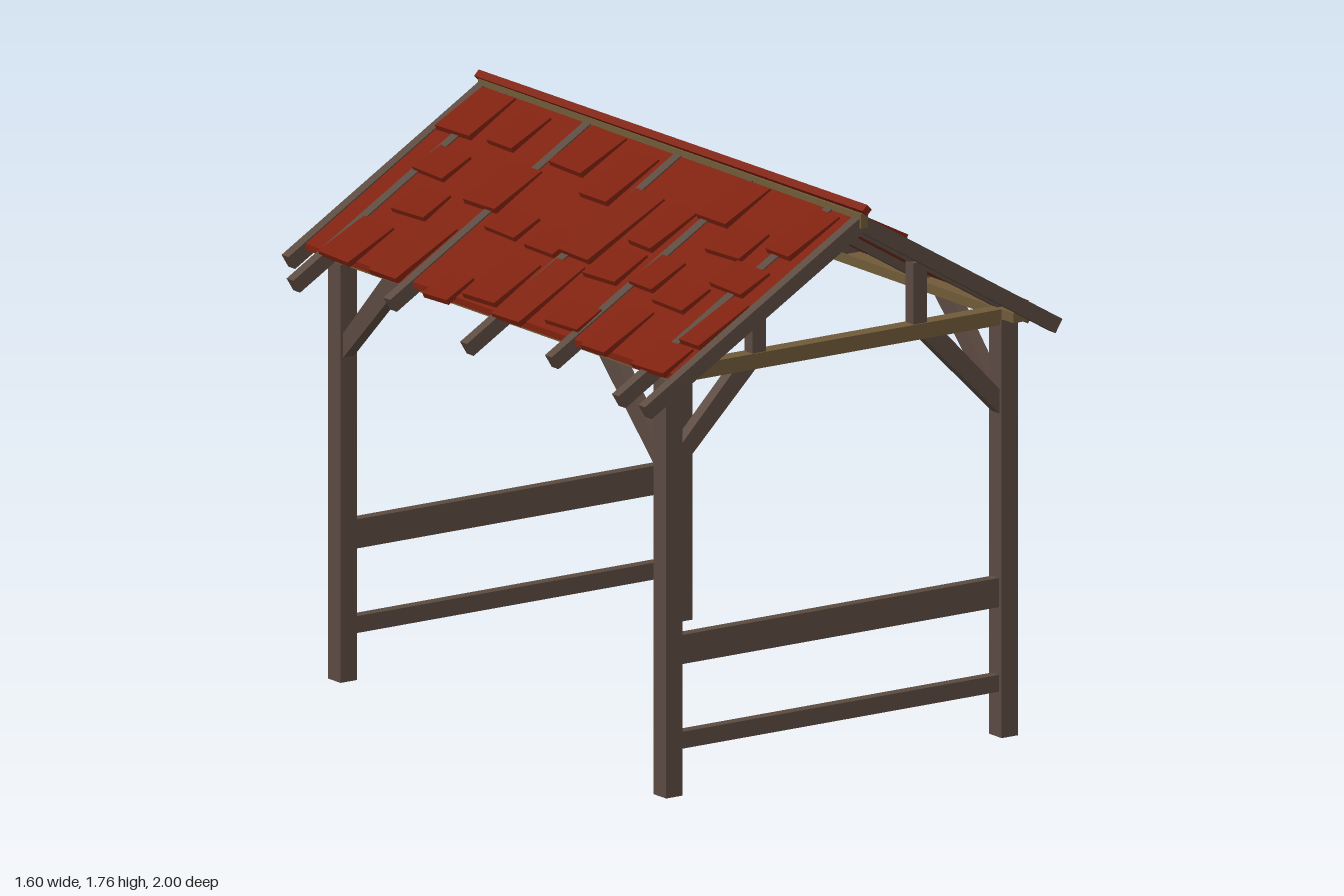
import * as THREE from 'three';

export function createModel() {
  const model = new THREE.Group();
  model.name = 'marketShelter';
  const material = (name, color) => {
    const m = new THREE.MeshStandardMaterial({ color });
    m.name = name;
    return m;
  };
  const wood = material('dark timber', 0x5b4a40);
  const beam = material('pale timber', 0x705a38);
  const red = material('red shingle', 0x7e210e);

  const add = (name, geometry, mat) => {
    const mesh = new THREE.Mesh(geometry, mat);
    mesh.name = name;
    model.add(mesh);
    return mesh;
  };
  // Box given by its size and centre
  const box = (name, mat, w, h, d, x, y, z) => {
    const mesh = add(name, new THREE.BoxGeometry(w, h, d), mat);
    mesh.position.set(x, y, z);
    return mesh;
  };
  // Outline extruded symmetrically about its own plane
  const prism = (points, depth) => {
    const shape = new THREE.Shape(points.map(([x, y]) => new THREE.Vector2(x, y)));
    return new THREE.ExtrudeGeometry(shape, { depth, bevelEnabled: false }).translate(0, 0, -depth / 2);
  };

  const slope = 0.589, pitch = Math.atan(slope);
  const deckY = (x) => 1.71 - slope * Math.abs(x);
  const postX = 0.615, postZ = 0.838;

  // Posts and diagonal braces at the four corners
  for (const sx of [-1, 1]) for (const sz of [-1, 1]) {
    box('post', wood, 0.06, 1.29, 0.065, sx * postX, 0.645, sz * postZ);
    const cross = [[0.59, 0.995], [0.59, 1.07], [0.39, 1.275], [0.305, 1.275]];
    add('gableBrace', prism(cross.map(([x, y]) => [sx * x, y]), 0.04), wood)
      .position.z = sz * postZ;
    const along = [[0.808, 1.0], [0.808, 1.075], [0.6, 1.295], [0.505, 1.295]];
    add('sideBrace', prism(along.map(([z, y]) => [sz * z, y]), 0.04).rotateY(-Math.PI / 2), wood)
      .position.x = sx * postX;
    box('gableStrut', wood, 0.05, 0.2, 0.04, sx * 0.295, 1.41, sz * postZ);
  }

  // Rails and tie beams on both gable ends, wall plates along the sides
  for (const s of [-1, 1]) {
    box('upperRail', wood, 1.18, 0.09, 0.035, 0, 0.446, s * postZ);
    box('lowerRail', wood, 1.18, 0.052, 0.035, 0, 0.166, s * postZ);
    box('tieBeam', beam, 1.2, 0.048, 0.05, 0, 1.297, s * postZ);
    box('wallPlate', beam, 0.052, 0.03, 1.85, s * postX, 1.306, 0);
  }

  // Rafter pairs with uneven ends: z, left reach, right reach
  const rafters = [
    [-0.972, 0.73, 0.795], [-0.855, 0.795, 0.795], [-0.42, 0.75, 0.74], [0.045, 0.8, 0.725],
    [0.412, 0.75, 0.78], [0.82, 0.795, 0.73], [0.962, 0.8, 0.73],
  ];
  for (const [z, l, r] of rafters) {
    const top = (x) => 1.725 - slope * x, low = (x) => 1.67 - slope * x;
    add('rafterPair', prism([
      [0, top(0)], [r, top(r)], [r - 0.025, low(r - 0.025)],
      [0, low(0)], [0.025 - l, low(l - 0.025)], [-l, top(l)],
    ], 0.035), wood).position.z = z;
  }

  // Roof deck and ridge
  const t = 0.01;
  for (const s of [-1, 1]) {
    add('roofDeck', prism([
      [0, deckY(0) + t], [s * 0.667, deckY(0.667) + t],
      [s * 0.667, deckY(0.667) - t], [0, deckY(0) - t],
    ], 1.9), red).position.z = -0.005;
  }
  box('ridgeBeam', beam, 0.026, 0.045, 1.97, 0, 1.709, 0);
  const cap = box('ridgeCap', red, 0.024, 0.024, 2, 0, 1.741, 0);
  cap.rotation.set(-0.004, 0, Math.PI / 4, 'XYZ');

  // Raised shingles in hundredths: inner x, outer x, back z, front z
  const leftTiles = [
    [53, 69, -85, -69], [38, 48, -77, -61], [24, 34, -86, -70], [2, 19, -95, -78], [4, 18, -70, -57],
    [47, 69, -59, -45], [21, 38, -54, -38], [2, 18, -38, -21], [60, 70, -30, -18], [35, 44, -35, -19],
    [49, 66, -15, 1], [36, 45, -13, 2], [5, 24, -14, 0], [45, 69, 4, 18], [16, 43, 3, 18],
    [35, 47, 20, 36], [16, 33, 24, 36], [56, 65, 26, 42], [33, 45, 41, 53], [2, 18, 38, 53],
    [51, 69, 50, 62], [38, 48, 57, 73], [16, 27, 55, 72], [27, 37, 71, 88], [58, 69, 76, 92],
    [3, 21, 78, 90], [39, 57, 84, 94],
  ];
  const rightTiles = [
    [3, 20, -90, -78], [27, 36, -88, -72], [39, 57, -94, -84], [58, 68, -91, -76], [15, 25, -71, -55],
    [38, 48, -73, -57], [51, 69, -62, -50], [2, 18, -54, -37], [43, 60, -54, -37], [16, 33, -37, -25],
    [35, 45, -37, -20], [46, 69, -30, -18], [16, 43, -19, -4], [45, 70, -18, -4], [5, 23, -1, 13],
    [36, 46, -2, 13], [49, 69, -3, 13], [53, 70, 18, 30], [2, 18, 22, 37], [34, 44, 19, 35],
    [21, 37, 38, 54], [46, 63, 33, 42], [52, 69, 44, 58], [3, 17, 58, 70], [38, 48, 61, 77],
    [24, 34, 69, 85], [52, 70, 70, 84], [2, 18, 78, 95],
  ];
  const lift = 0.06;
  for (const [s, tiles] of [[-1, leftTiles], [1, rightTiles]]) {
    tiles.forEach(([x0, x1, z0, z1], i) => {
      const x = (x0 + x1) / 200, w = (x1 - x0) / 100;
      const tile = box('shingle', red, w / Math.cos(pitch), 0.018, (z1 - z0) / 100,
        s * x, deckY(x) + 0.014, (z0 + z1) / 200);
      // Follow the pitch with the lower edge kicked up, slightly askew
      tile.rotation.set(0, 0, -s * (pitch - Math.min(lift, 0.01 / w)));
      tile.rotateY(0.035 * Math.sin(i * 2.7 + s));
    });
  }
  return model;
}
